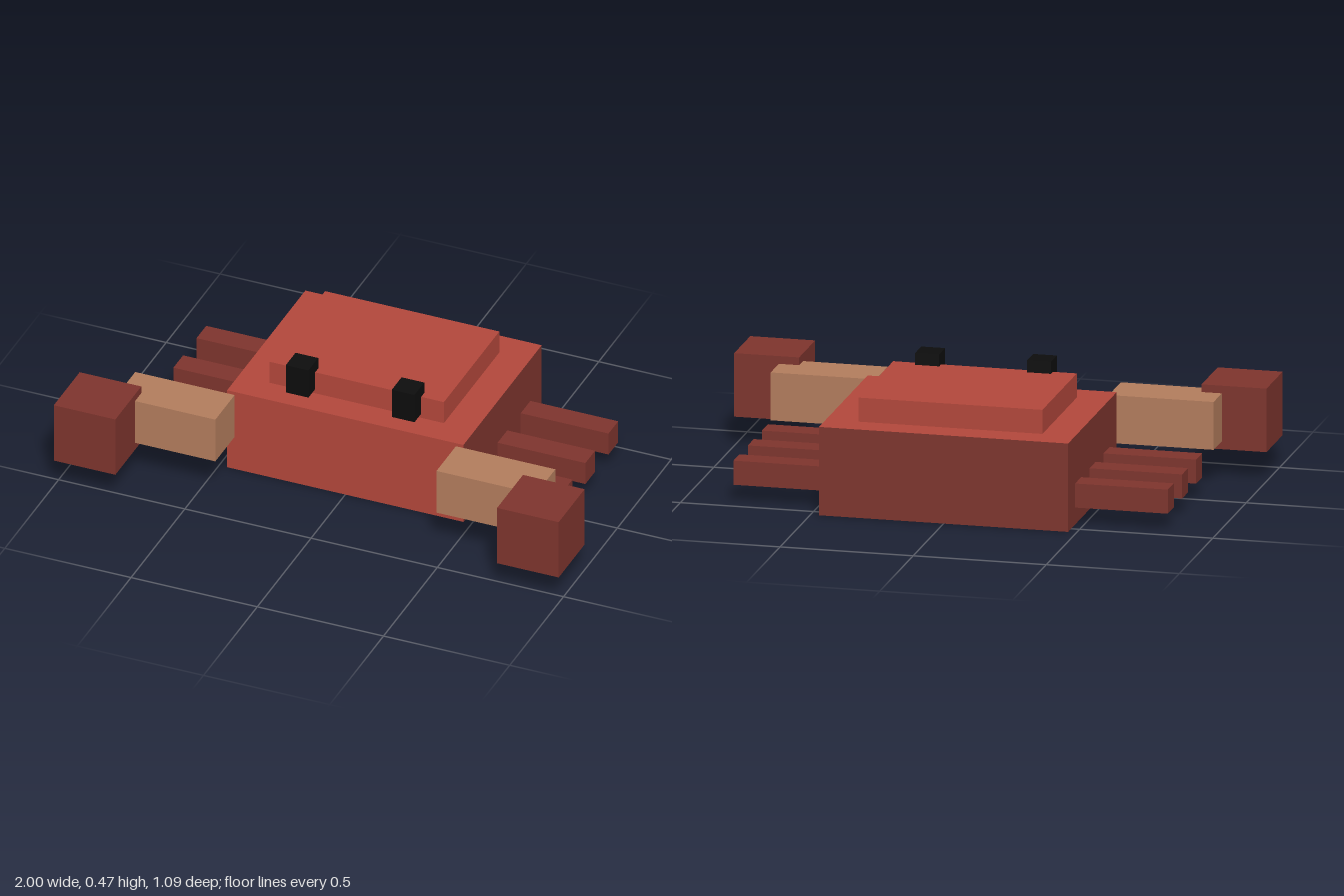
import * as THREE from 'three';

const mat = (name, color) => {
  const m = new THREE.MeshStandardMaterial({ color });
  m.name = name;
  return m;
};

export function createModel() {
  const red = mat('shell red', 0xb2473b);
  const dark = mat('dark red', 0x7d342d);
  const tan = mat('tan', 0xb27c5c);
  const black = mat('black', 0x0d0d0d);

  const model = new THREE.Group();
  model.name = 'crab';

  // Box given by its min and max on each axis
  const box = (name, material, [x0, x1], [y0, y1], [z0, z1]) => {
    const mesh = new THREE.Mesh(new THREE.BoxGeometry(x1 - x0, y1 - y0, z1 - z0), material);
    mesh.position.set((x0 + x1) / 2, (y0 + y1) / 2, (z0 + z1) / 2);
    mesh.name = name;
    model.add(mesh);
  };

  // Body: red on top and front, dark on the other faces
  box('body', [dark, dark, red, dark, red, dark], [-0.468, 0.468], [0, 0.334], [-0.545, 0.182]);
  box('upperShell', red, [-0.345, 0.345], [0.334, 0.425], [-0.44, 0.075]);

  for (const [side, s] of [['left', 1], ['right', -1]]) {
    const span = (a, b) => (s > 0 ? [a, b] : [-b, -a]);
    box(side + 'Eye', black, span(0.165, 0.255), [0.352, 0.47], [0.046, 0.137]);
    box(side + 'Arm', tan, span(0.438, 0.832), [0.14, 0.321], [0.182, 0.362]);
    box(side + 'Claw', dark, span(0.756, 1), [0.11, 0.35], [0.304, 0.545]);

    // Three walking legs per side
    [0.03, -0.18, -0.395].forEach((z, i) =>
      box(side + 'Leg' + (i + 1), dark, span(0.44, 0.816), [0.064, 0.155], [z - 0.045, z + 0.045]));
  }
  return model;
}
